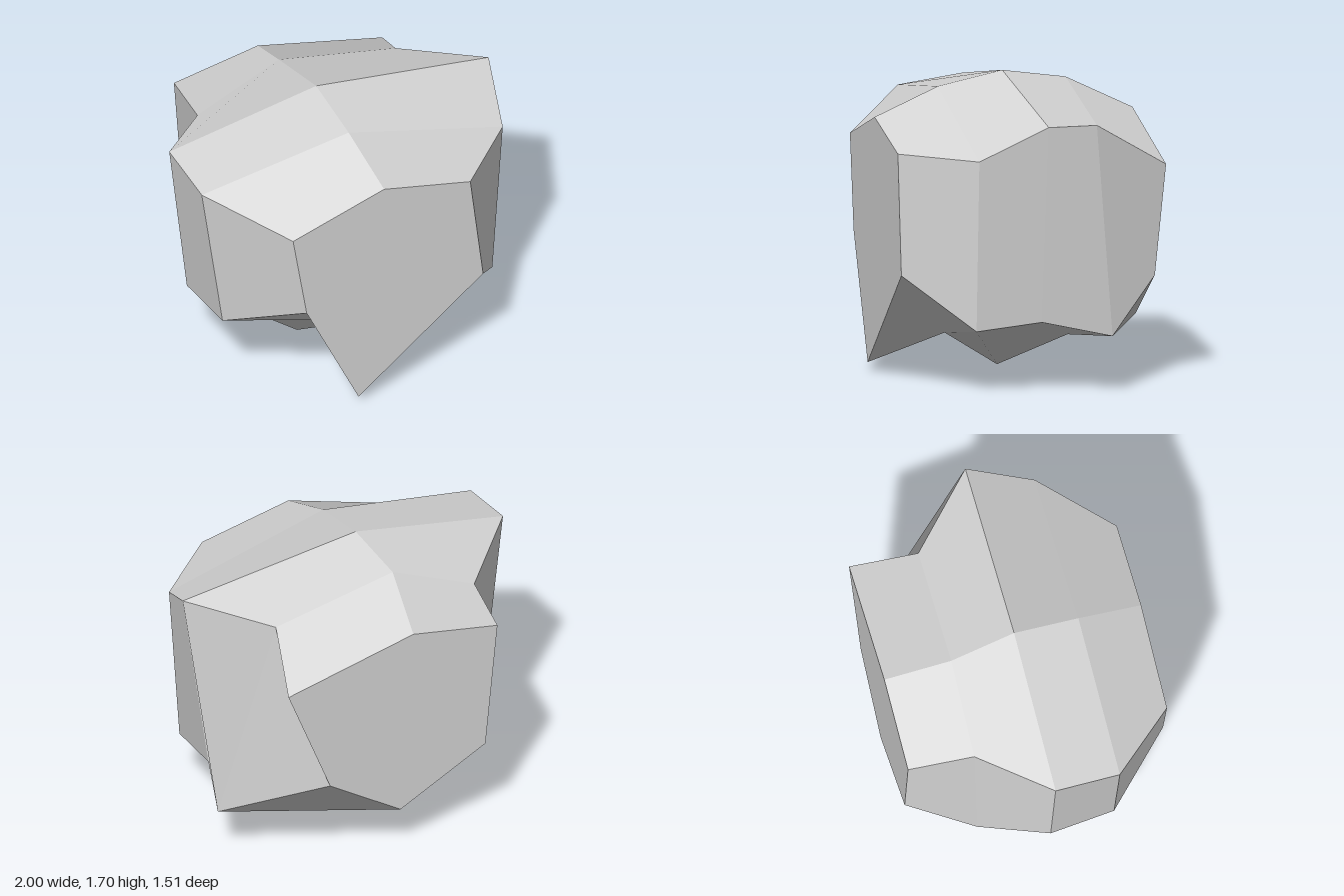
import * as THREE from 'three';

// Hexagonal cross-sections from front to back, each running clockwise:
// ridge, upper +x, lower +x, bottom, lower -x, upper -x
const sections = [
  { z: 0.757, ring: [[-0.02, 1.47], [0.52, 1.343], [0.6, 0.66], [-0.18, 0.045], [-0.505, 0.75], [-0.59, 1.29]] },
  { z: 0.38, ring: [[-0.06, 1.625], [0.905, 1.343], [0.84, 0.363], [0.1, 0.243], [-0.85, 0.55], [-0.98, 1.49]] },
  { z: 0, ring: [[-0.08, 1.7], [1, 1.54], [0.84, 0.402], [-0.2, 0], [-0.89, 0.55], [-1, 1.54]] },
  { z: -0.38, ring: [[-0.13, 1.64], [0.6, 1.475], [0.962, 0.328], [-0.08, 0.175], [-0.7, 0.42], [-0.64, 1.414]] },
  { z: -0.757, ring: [[-0.08, 1.46], [0.7, 1.255], [0.44, 0.58], [0, 0.295], [-0.53, 0.59], [-0.605, 1.37]] },
];

const cross = (a, b, c, d) => b.clone().sub(a).cross(d.clone().sub(c));

// Joins the sections into a closed solid, each facet shaded with one normal
function loft(rings) {
  const positions = [], normals = [];
  const tri = (normal, ...corners) => corners.forEach((p) => {
    positions.push(p.x, p.y, p.z);
    normals.push(normal.x, normal.y, normal.z);
  });

  // Four-cornered facet, split along a-c unless that would fold it over
  const quad = (a, b, c, d) => {
    const normal = cross(a, c, b, d).normalize();
    const folds = cross(a, b, a, c).dot(cross(a, c, a, d)) < 0;
    if (folds) {
      tri(normal, a, b, d);
      tri(normal, b, c, d);
    } else {
      tri(normal, a, b, c);
      tri(normal, a, c, d);
    }
  };

  // Side facets
  const n = rings[0].length;
  for (let s = 0; s < rings.length - 1; s++) {
    const front = rings[s], back = rings[s + 1];
    for (let i = 0; i < n; i++) {
      const j = (i + 1) % n;
      quad(front[i], front[j], back[j], back[i]);
    }
  }

  // Flat end faces
  const first = rings[0], last = rings[rings.length - 1];
  const forward = new THREE.Vector3(0, 0, 1), backward = new THREE.Vector3(0, 0, -1);
  for (let i = 1; i < n - 1; i++) {
    tri(forward, first[0], first[i + 1], first[i]);
    tri(backward, last[0], last[i], last[i + 1]);
  }

  const geometry = new THREE.BufferGeometry();
  geometry.setAttribute('position', new THREE.Float32BufferAttribute(positions, 3));
  geometry.setAttribute('normal', new THREE.Float32BufferAttribute(normals, 3));
  return geometry;
}

export function createModel() {
  const group = new THREE.Group();
  group.name = 'rock';

  const stone = new THREE.MeshStandardMaterial({ color: 0xd4d4d4 });
  stone.name = 'grey stone';

  const rings = sections.map(({ z, ring }) => ring.map(([x, y]) => new THREE.Vector3(x, y, z)));
  const boulder = new THREE.Mesh(loft(rings), stone);
  boulder.name = 'boulder';
  group.add(boulder);
  return group;
}
